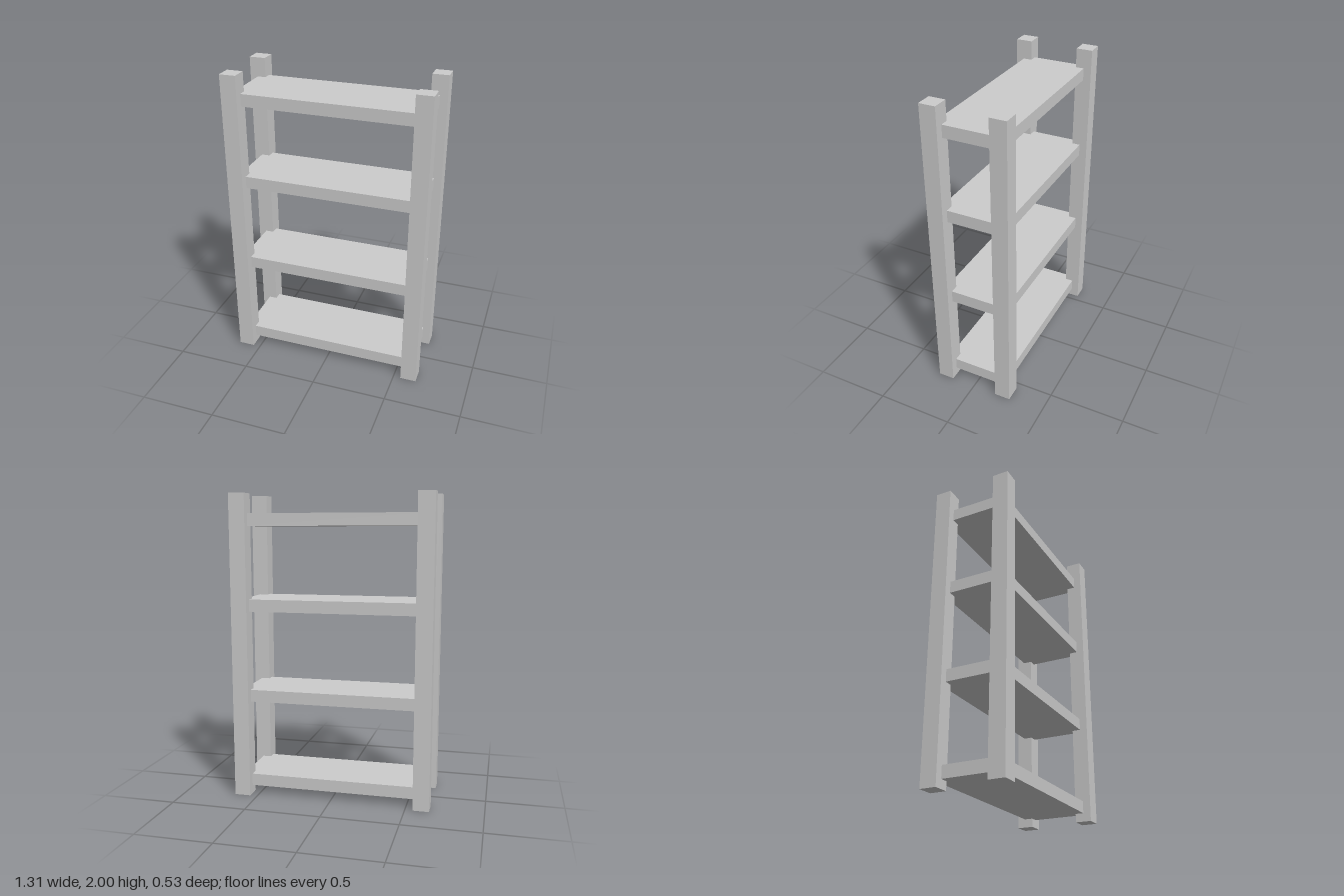
import * as THREE from 'three';

const POST = { size: 0.106, height: 2, x: 0.602, z: 0.214 };
const SHELF = { width: 1.208, thickness: 0.08, depth: 0.432 };
const SHELF_HEIGHTS = [0.096, 0.679, 1.282, 1.834];

export function createModel() {
  const model = new THREE.Group();
  model.name = 'shelvingUnit';
  const material = new THREE.MeshStandardMaterial({ color: 0xcccccc, flatShading: true });

  const addBox = (name, [w, h, d], [x, y, z]) => {
    const mesh = new THREE.Mesh(new THREE.BoxGeometry(w, h, d), material);
    mesh.name = name;
    mesh.position.set(x, y, z);
    model.add(mesh);
  };

  // Square corner posts
  for (const [side, sx] of [['Left', 1], ['Right', -1]]) {
    for (const [end, sz] of [['front', 1], ['back', -1]]) {
      addBox(`${end}${side}Post`, [POST.size, POST.height, POST.size],
        [sx * POST.x, POST.height / 2, sz * POST.z]);
    }
  }

  // Shelves, with their corners let into the posts
  SHELF_HEIGHTS.forEach((y, i) => {
    addBox(`shelf${i + 1}`, [SHELF.width, SHELF.thickness, SHELF.depth], [0, y, 0]);
  });

  return model;
}
